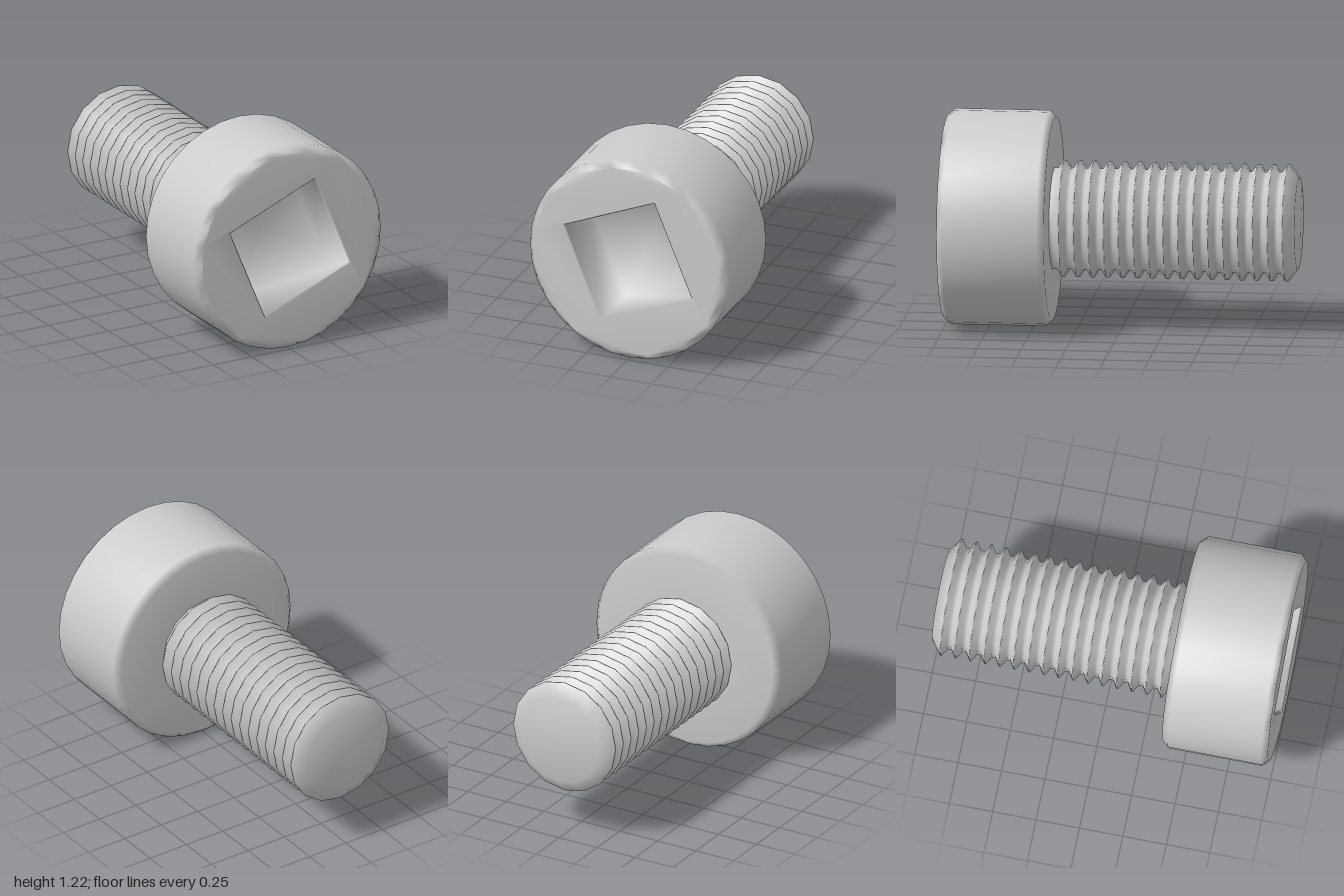
import * as THREE from 'three';
import { mergeGeometries, mergeVertices } from 'three/addons/utils/BufferGeometryUtils.js';

const HEAD_R = 0.61, FACE_R = 0.575, RIM_R = 0.428, SOCKET_R = 0.418;
const SOCKET_ANGLE = THREE.MathUtils.degToRad(67.5);

// Revolve [radius, z] pairs about the z axis
function revolve(profile, sides, start = 0) {
  const points = profile.map(([r, z]) => new THREE.Vector2(r, z));
  return new THREE.LatheGeometry(points, sides, start).rotateX(Math.PI / 2);
}

// Regular polygon outline
function ring(radius, sides, start = 0) {
  return Array.from({ length: sides }, (_, i) => {
    const a = start + (i / sides) * Math.PI * 2;
    return new THREE.Vector2(radius * Math.cos(a), radius * Math.sin(a));
  });
}

// Weld pieces so the shading flows across the chamfers
function weld(pieces) {
  const bare = pieces.map((g) => {
    const piece = g.index ? g.toNonIndexed() : g;
    piece.deleteAttribute('normal');
    piece.deleteAttribute('uv');
    return piece;
  });
  const welded = mergeVertices(mergeGeometries(bare), 1e-3);
  welded.computeVertexNormals();
  return welded;
}

function headGeometry() {
  // Chamfered cylinder wall and back face
  const body = revolve([[0.27, 0.39], [FACE_R, 0.39], [HEAD_R, 0.428], [HEAD_R, 0.965], [FACE_R, 1]], 32);
  // Front face with the square opening
  const face = new THREE.Shape(ring(FACE_R, 32));
  face.holes.push(new THREE.Path(ring(RIM_R, 4, SOCKET_ANGLE)));
  const front = new THREE.ShapeGeometry(face).translate(0, 0, 1);
  // Square socket: small bevel, walls and floor
  const socket = revolve([[RIM_R, 1], [SOCKET_R, 0.99], [SOCKET_R, 0.65], [0, 0.65]], 4, SOCKET_ANGLE);
  return weld([body, front, socket]);
}

function shaftGeometry() {
  const crest = 0.336, valley = 0.292, first = -0.938, pitch = 0.0847, turns = 16;
  const profile = [[0, -1], [0.26, -1]];
  // Repeating ridges, each followed by a narrow groove
  for (let i = 0; i < turns; i++) {
    const z = first + i * pitch;
    profile.push([crest, z - 0.004], [crest, z + 0.004]);
    profile.push([valley, z + pitch / 2 - 0.01], [valley, z + pitch / 2 + 0.01]);
  }
  profile.push([valley, 0.395]);
  return weld([revolve(profile, 16)]);
}

export function createModel() {
  const material = new THREE.MeshStandardMaterial({ color: 0xcccccc });
  const model = new THREE.Group();
  model.name = 'socketScrew';
  const parts = { head: headGeometry(), threadedShaft: shaftGeometry() };
  for (const [name, geometry] of Object.entries(parts)) {
    const mesh = new THREE.Mesh(geometry, material);
    mesh.name = name;
    mesh.position.y = HEAD_R;
    model.add(mesh);
  }
  return model;
}
